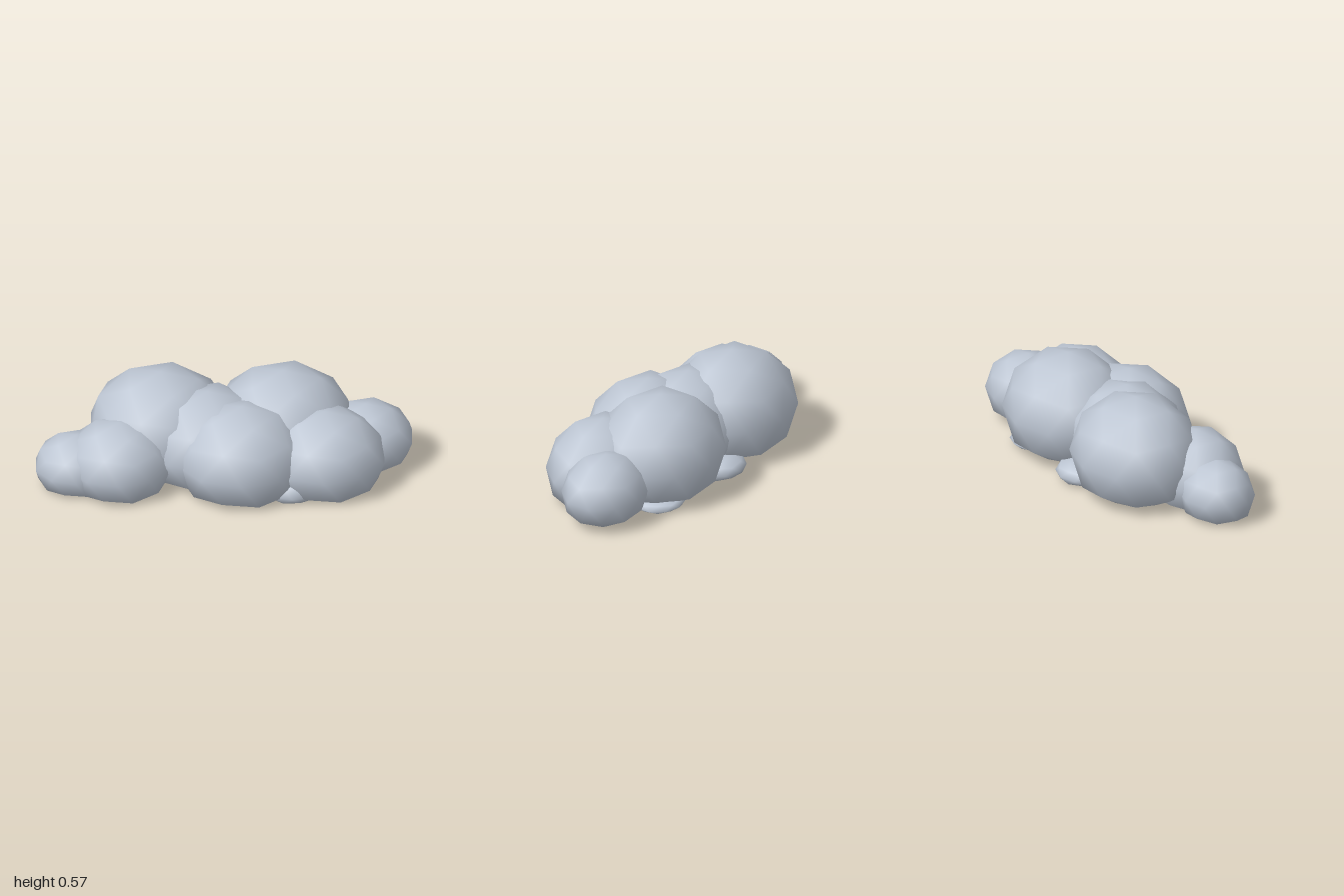
import * as THREE from 'three';
import { mergeVertices } from 'three/addons/utils/BufferGeometryUtils.js';

const FLOOR = 0.015; // height below which a puff is pressed almost flat
const SQUASH = 0.1;

// Smooth 80-face ball with one vertex pointing straight up
function unitBall() {
  let g = new THREE.IcosahedronGeometry(1, 1);
  g.deleteAttribute('normal');
  g.deleteAttribute('uv');
  g = mergeVertices(g, 1e-4);
  g.rotateX(-Math.atan2((1 + Math.sqrt(5)) / 2, 1));
  g.rotateY(Math.PI / 2);
  return g;
}

// Ellipsoid puff with a flattened underside
function puffGeometry(ball, [x, y, z], [rx, ry, rz]) {
  const g = ball.clone().scale(rx, ry, rz).translate(x, y, z);
  const p = g.attributes.position;
  for (let i = 0; i < p.count; i++) {
    const h = p.getY(i);
    if (h < FLOOR) p.setY(i, FLOOR + (h - FLOOR) * SQUASH);
  }
  g.computeVertexNormals();
  return g;
}

export function createModel() {
  const group = new THREE.Group();
  group.name = 'cloud';
  const material = new THREE.MeshStandardMaterial({ color: 0xbcc5d2 });
  material.name = 'cloud grey';
  const ball = unitBall();

  // name, centre, radii
  const puffs = [
    ['middlePuff', [-0.09, 0.2, 0], [0.36, 0.31, 0.31]],
    ['backLeftPuff', [0.31, 0.24, -0.113], [0.385, 0.33, 0.337]],
    ['backRightPuff', [-0.34, 0.235, -0.105], [0.388, 0.33, 0.335]],
    ['frontMiddlePuff', [0.09, 0.19, 0.13], [0.365, 0.31, 0.317]],
    ['frontLeftPuff', [0.53, 0.17, 0.1], [0.335, 0.28, 0.285]],
    ['frontRightPuff', [-0.56, 0.15, 0.135], [0.29, 0.25, 0.25]],
    ['leftEndPuff', [0.75, 0.17, -0.08], [0.258, 0.21, 0.22]],
    ['rightEndPuff', [-0.785, 0.12, 0.12], [0.226, 0.19, 0.195]],
    // small puffs peeking out along the base
    ['backBasePuff', [-0.04, 0.045, -0.235], [0.16, 0.07, 0.152]],
    ['backLeftBasePuff', [0.46, 0.03, -0.22], [0.15, 0.045, 0.135]],
    ['frontBasePuff', [0.36, 0.05, 0.2], [0.17, 0.11, 0.15]],
  ];
  for (const [name, centre, radii] of puffs) {
    const mesh = new THREE.Mesh(puffGeometry(ball, centre, radii), material);
    mesh.name = name;
    group.add(mesh);
  }
  return group;
}
